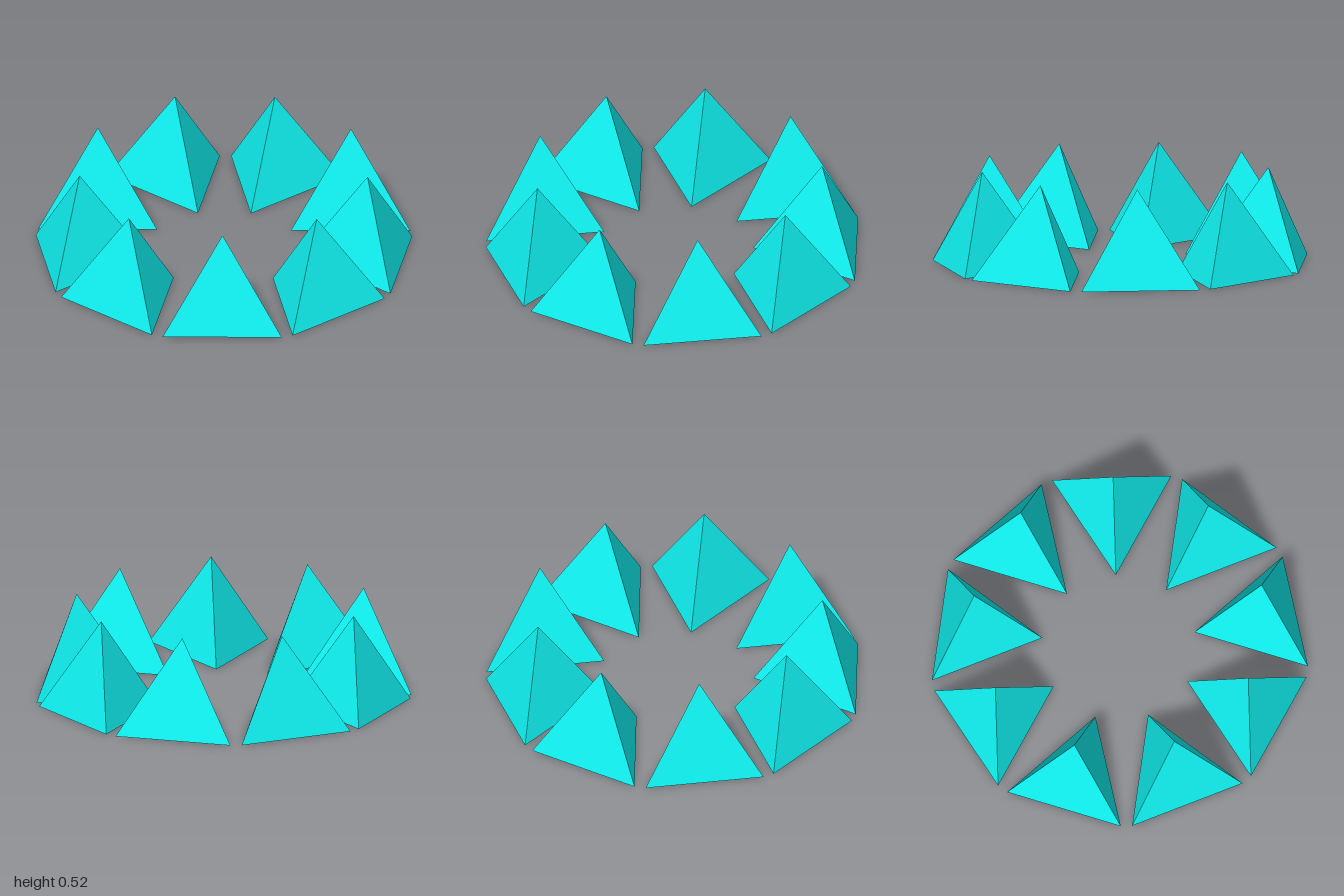
import * as THREE from 'three';

const COUNT = 9;              // pyramids in the ring
const RING_RADIUS = 0.7765;   // ring centre to pyramid centre
const BASE_RADIUS = 0.366;    // pyramid centre to base corner
const HEIGHT = BASE_RADIUS * Math.SQRT2; // regular tetrahedron

export function createModel() {
  const model = new THREE.Group();
  model.name = 'pyramidRing';

  const material = new THREE.MeshStandardMaterial({ color: 0x10f0f0, flatShading: true });

  // Three-sided pyramid with one base corner pointing to -x, toward the ring centre
  const geometry = new THREE.ConeGeometry(BASE_RADIUS, HEIGHT, 3, 1, false, -Math.PI / 2);
  geometry.translate(RING_RADIUS, HEIGHT / 2, 0);

  // Ring of pyramids, starting on +x
  for (let i = 0; i < COUNT; i++) {
    const pyramid = new THREE.Mesh(geometry, material);
    pyramid.name = `pyramid${i + 1}`;
    pyramid.rotation.y = (i / COUNT) * Math.PI * 2;
    // An odd count is lopsided in x, so shift to centre its extent
    pyramid.position.x = 0.025;
    model.add(pyramid);
  }

  return model;
}
